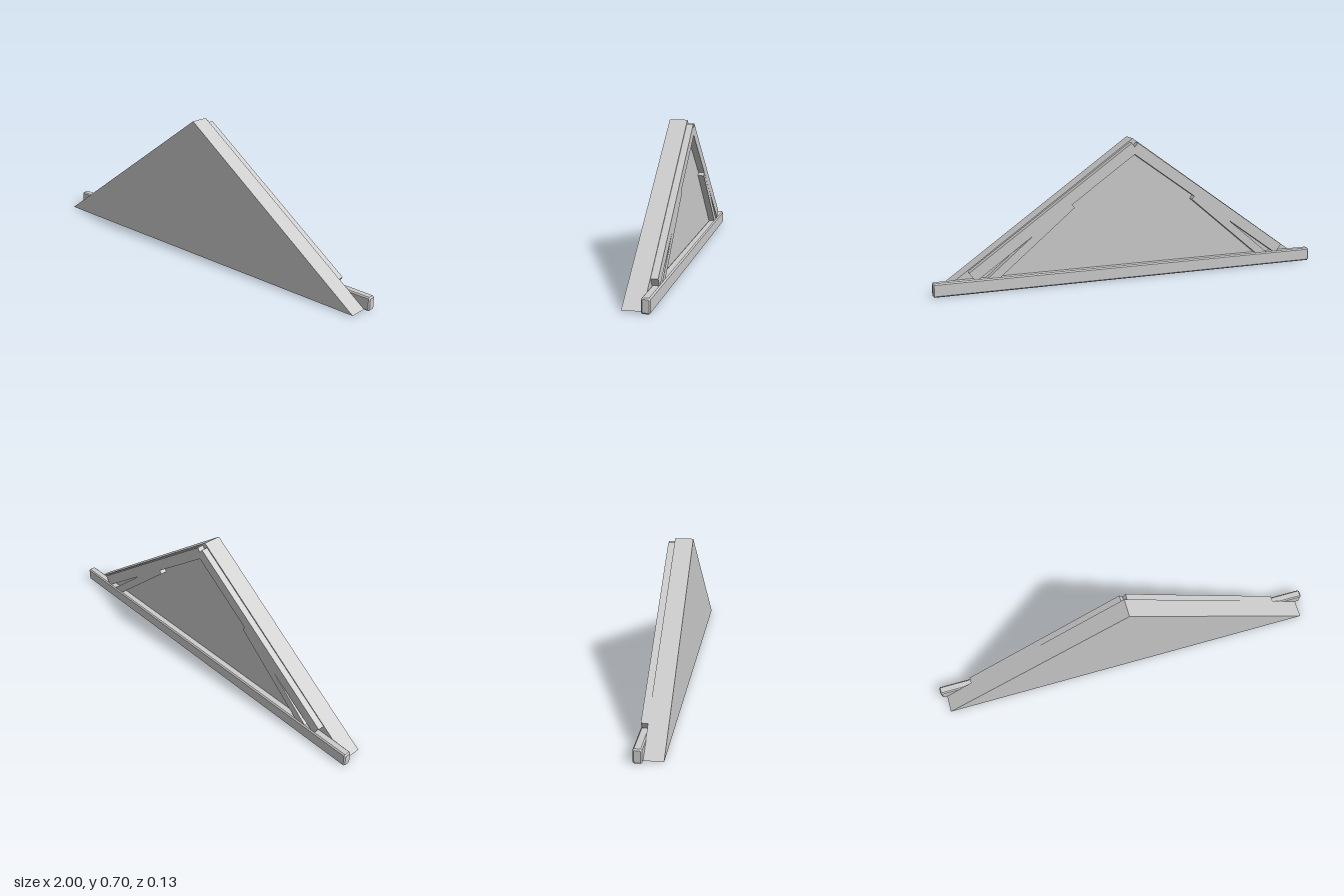
import * as THREE from 'three';

export function createModel() {
  const group = new THREE.Group();
  const grey = new THREE.MeshStandardMaterial({ color: 0xcccccc });
  grey.name = 'plain grey';

  // Flat outline extruded from z0 to z1
  function addSlab(name, points, z0, z1) {
    const shape = new THREE.Shape(points.map(([x, y]) => new THREE.Vector2(x, y)));
    const geometry = new THREE.ExtrudeGeometry(shape, { depth: z1 - z0, bevelEnabled: false });
    geometry.translate(0, 0, z0);
    const mesh = new THREE.Mesh(geometry, grey);
    mesh.name = name;
    group.add(mesh);
  }

  // Square-ended board: upper edge runs from a to b, width is measured downwards
  function addBoard(name, side, a, b, width, z0, z1) {
    const dx = b[0] - a[0], dy = b[1] - a[1], length = Math.hypot(dx, dy);
    const nx = (dy / length) * width, ny = (-dx / length) * width;
    const points = [a, b, [b[0] + nx, b[1] + ny], [a[0] + nx, a[1] + ny]];
    addSlab(name, points.map(([x, y]) => [x * side, y]), z0, z1);
  }

  // Solid triangular gable
  addSlab('gablePanel', [[-0.975, 0.004], [0.975, 0.004], [0, 0.7]], -0.024, 0.065);

  // Rafters under the slopes, with steeper braces at their feet
  for (const [label, side] of [['left', 1], ['right', -1]]) {
    addBoard(label + 'Rafter', side, [0.015, 0.681], [0.83, 0.102], 0.055, -0.056, -0.024);
    addBoard(label + 'Brace', side, [0.335, 0.41], [0.775, 0.04], 0.04, -0.0555, -0.024);
  }

  // Chamfered tie beam along the foot
  const c = 0.006;
  const outline = new THREE.Shape([
    [-0.02 + c, -0.0335], [0.02 - c, -0.0335], [0.02, -0.0335 + c], [0.02, 0.0335 - c],
    [0.02 - c, 0.0335], [-0.02 + c, 0.0335], [-0.02, 0.0335 - c], [-0.02, -0.0335 + c],
  ].map(([x, y]) => new THREE.Vector2(x, y)));
  const beamGeometry = new THREE.ExtrudeGeometry(outline, {
    depth: 2 - 2 * c, bevelEnabled: true, bevelSegments: 1,
    bevelThickness: c, bevelSize: c, bevelOffset: -c,
  });
  beamGeometry.translate(0, 0, -1 + c);
  beamGeometry.rotateY(Math.PI / 2);
  const beam = new THREE.Mesh(beamGeometry, grey);
  beam.name = 'tieBeam';
  beam.position.set(0, 0.0335, -0.042);
  group.add(beam);

  return group;
}
